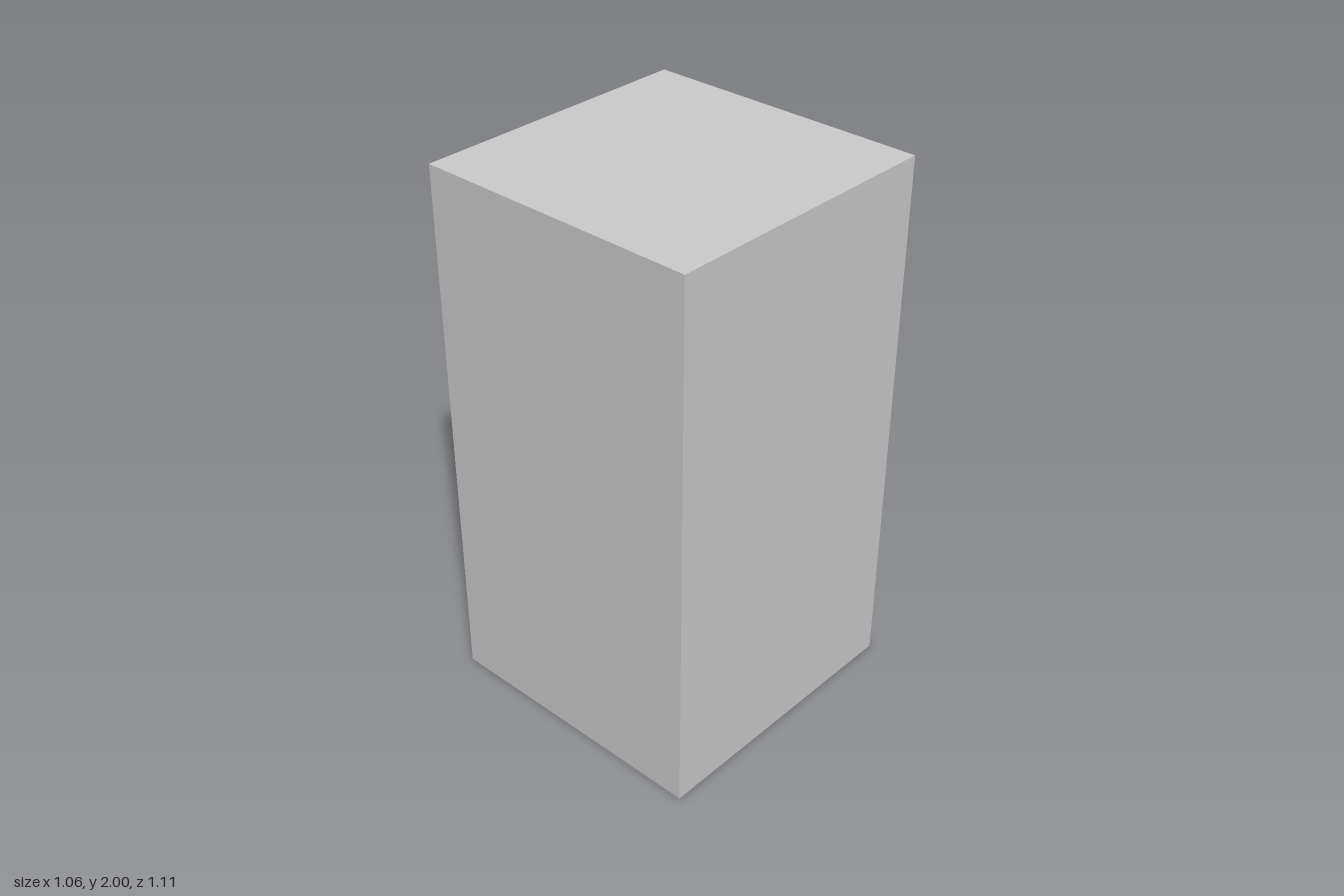
import * as THREE from 'three';

const material = new THREE.MeshStandardMaterial({ color: 0xcccccc });
const FACE = -0.498, REAR = 0.554, HALF_W = 0.532, HEIGHT = 2;

// Slight flare: the depth grows a little towards the top
function flare(geometry) {
  const p = geometry.attributes.position;
  const mid = (FACE + REAR) / 2;
  for (let i = 0; i < p.count; i++) {
    const s = 0.992 + 0.008 * p.getY(i);
    p.setZ(i, mid + (p.getZ(i) - mid) * s);
  }
  geometry.computeVertexNormals();
  return geometry;
}

// Box from min/max bounds, without its -z side; inward turns it into a recess lining
function openBox([x0, x1, y0, y1], z0, z1, inward = false) {
  const g = new THREE.BoxGeometry(x1 - x0, y1 - y0, z1 - z0);
  g.translate((x0 + x1) / 2, (y0 + y1) / 2, (z0 + z1) / 2);
  const index = Array.from(g.index.array).slice(0, 30); // last six indices are the -z side
  g.setIndex(inward ? index.reverse() : index);
  return g.toNonIndexed();
}

function rectangle(path, [x0, x1, y0, y1]) {
  // x is mirrored because the panel is turned to face -z
  path.moveTo(-x0, y0).lineTo(-x1, y0).lineTo(-x1, y1).lineTo(-x0, y1).closePath();
  return path;
}

export function createModel() {
  const group = new THREE.Group();
  const add = (name, geometry) => {
    const mesh = new THREE.Mesh(flare(geometry), material);
    mesh.name = name;
    group.add(mesh);
  };

  const outline = [-HALF_W, HALF_W, 0, HEIGHT];
  const recesses = [
    { name: 'shelfOpening', rect: [-0.488, 0.508, 1.323, 1.93], depth: 0.54 },
    { name: 'upperDrawerGap', rect: [-0.44, 0.452, 0.845, 0.863], depth: 0.04 },
    { name: 'lowerDrawerGap', rect: [-0.44, 0.452, 0.417, 0.435], depth: 0.04 },
  ];

  // Cabinet shell: sides, top, bottom and plain rear
  add('cabinetShell', openBox(outline, FACE, REAR));

  // Drawer panel pierced by the shelf opening and the gaps between drawers
  const panel = rectangle(new THREE.Shape(), outline);
  for (const r of recesses) panel.holes.push(rectangle(new THREE.Path(), r.rect));
  add('drawerPanel', new THREE.ShapeGeometry(panel).rotateY(Math.PI).translate(0, 0, FACE));

  // Recess linings
  for (const r of recesses) add(r.name, openBox(r.rect, FACE, FACE + r.depth, true));

  // One block handle per drawer
  for (const y of [0.263, 0.661, 1.076]) {
    const handle = new THREE.BoxGeometry(0.152, 0.055, 0.06);
    add('drawerHandle', handle.translate(-0.002, y, FACE - 0.028));
  }

  return group;
}
